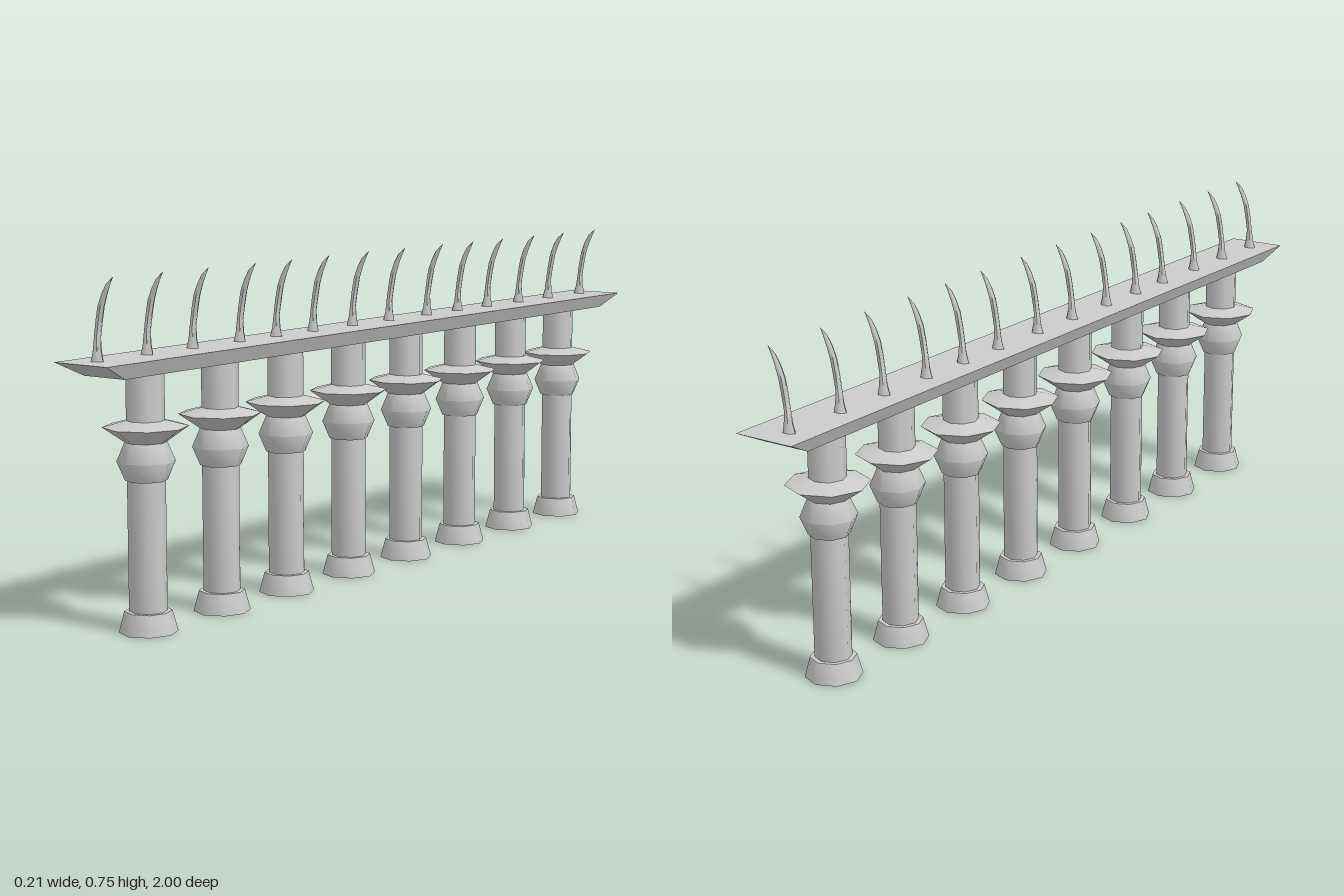
import * as THREE from 'three';
import { toCreasedNormals } from 'three/addons/utils/BufferGeometryUtils.js';

const material = new THREE.MeshStandardMaterial({ color: 0xcccccc });

function part(name, geometry) {
  const mesh = new THREE.Mesh(geometry, material);
  mesh.name = name;
  return mesh;
}

// Octagonal turned shape from [radius, height] pairs, bottom to top
function turned(profile) {
  const points = profile.map(([r, y]) => new THREE.Vector2(r, y));
  return toCreasedNormals(new THREE.LatheGeometry(points, 8), 1.0);
}

// Rail whose underside is smaller than its top
function railGeometry() {
  const geo = new THREE.BoxGeometry(2, 2, 2);
  const p = geo.attributes.position;
  for (let i = 0; i < p.count; i++) {
    const top = p.getY(i) > 0;
    p.setXYZ(i, p.getX(i) * (top ? 0.072 : 0.055), top ? 0.578 : 0.545,
      p.getZ(i) * (top ? 0.999 : 0.93));
  }
  geo.computeVertexNormals();
  return geo;
}

// Curved thorn: sections of [height, centre x, half width x, half width z]
function spikeGeometry() {
  const sections = [
    [0.577, -0.0115, 0.0165, 0.012], [0.598, -0.0105, 0.0105, 0.009],
    [0.625, -0.0095, 0.0068, 0.0078], [0.66, -0.004, 0.0075, 0.0078],
    [0.69, 0.002, 0.0078, 0.0075], [0.715, 0.0115, 0.0075, 0.006],
    [0.735, 0.022, 0.006, 0.004], [0.75, 0.035, 0.0005, 0.0005],
  ];
  const rows = sections.length - 1;
  const geo = new THREE.CylinderGeometry(1, 1, 1, 6, rows, true, Math.PI / 6);
  const p = geo.attributes.position;
  for (let i = 0; i < p.count; i++) {
    const [y, cx, rx, rz] = sections[Math.round((p.getY(i) + 0.5) * rows)];
    p.setXYZ(i, cx + p.getX(i) * rx, y, p.getZ(i) * rz);
  }
  return toCreasedNormals(geo, 1.1);
}

export function createModel() {
  const model = new THREE.Group();
  model.name = 'spikedBalustrade';
  const row = new THREE.Group();
  row.name = 'balustradeRow';
  row.rotation.y = 0.016; // the row runs slightly askew
  model.add(row);

  row.add(part('rail', railGeometry()));

  // Pillars
  const base = turned([[0, 0], [0.062, 0], [0.05, 0.045], [0.038, 0.045]]);
  const shaft = turned([[0.04, 0.045], [0.04, 0.545]]);
  const capital = turned([[0.039, 0.32], [0.044, 0.32], [0.061, 0.36],
    [0.044, 0.4], [0.09, 0.432], [0.039, 0.445]]);
  for (const z of [0.81, 0.573, 0.348, 0.115, -0.115, -0.346, -0.576, -0.807]) {
    const pillar = new THREE.Group();
    pillar.name = 'pillar';
    pillar.position.z = z;
    pillar.add(part('base', base), part('shaft', shaft), part('capital', capital));
    row.add(pillar);
  }

  // Thorns along the rail
  const thorn = spikeGeometry();
  for (const z of [0.938, 0.79, 0.647, 0.492, 0.366, 0.233, 0.084, -0.06,
    -0.217, -0.35, -0.483, -0.63, -0.774, -0.934]) {
    const spike = part('spike', thorn);
    spike.position.z = z;
    row.add(spike);
  }
  return model;
}
